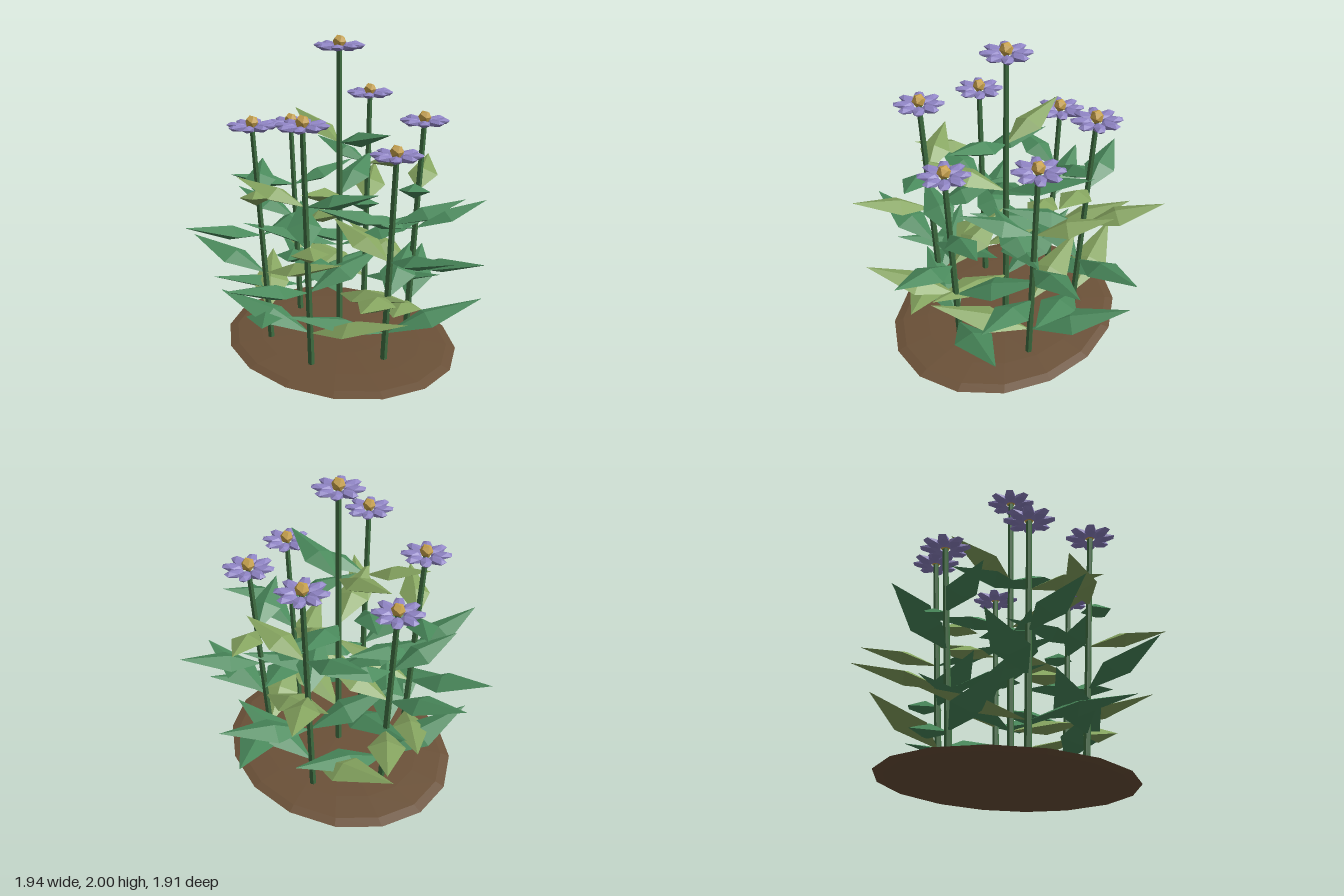
import * as THREE from 'three';

const mat = (color) => new THREE.MeshStandardMaterial({ color, flatShading: true });
const MATS = {
  soil: mat(0x6b5138), stem: mat(0x3f6f42), leaf: mat(0x4a8a5c),
  paleLeaf: mat(0x86a560), petal: mat(0x8f84c4), disc: mat(0xc8a24c),
};
const CENTRE = -0.015;
const rad = THREE.MathUtils.degToRad;

// Faceted leaf: a stretched octahedron, base at 0 and tip at x = 1, widest at 0.42
function leafGeometry() {
  const g = new THREE.OctahedronGeometry(1, 0);
  const p = g.attributes.position;
  for (let i = 0; i < p.count; i++) {
    const x = p.getX(i);
    p.setX(i, x > 0.5 ? 1 : x < -0.5 ? 0 : 0.42);
  }
  g.computeVertexNormals();
  return g;
}

const LEAF = leafGeometry();
const PETAL = new THREE.IcosahedronGeometry(1, 0);
const DISC = new THREE.IcosahedronGeometry(0.042, 0);

function add(parent, name, geometry, material) {
  const m = new THREE.Mesh(geometry, material);
  m.name = name;
  parent.add(m);
  return m;
}

// Ring of eight petals around a golden disc
function makeFlower() {
  const flower = new THREE.Group();
  flower.name = 'flower';
  for (let i = 0; i < 8; i++) {
    const arm = new THREE.Group();
    arm.name = 'petalArm';
    arm.rotation.y = (i * Math.PI) / 4;
    const petal = add(arm, 'petal', PETAL, MATS.petal);
    petal.position.set(0.09, 0.003, 0);
    petal.scale.set(0.072, 0.022, 0.04);
    petal.rotation.z = 0.12;
    flower.add(arm);
  }
  add(flower, 'flowerDisc', DISC, MATS.disc).position.y = 0.03;
  return flower;
}

// One plant: leaning stem, four pairs of opposite leaves, flower on top
function makePlant(index, foot, head) {
  const plant = new THREE.Group();
  plant.name = 'plant';
  const axis = head.clone().sub(foot);

  const stem = add(plant, 'stem', new THREE.CylinderGeometry(0.017, 0.022, axis.length(), 6), MATS.stem);
  stem.position.copy(foot).add(head).multiplyScalar(0.5);
  stem.quaternion.setFromUnitVectors(new THREE.Vector3(0, 1, 0), axis.clone().normalize());

  const size = index === 6 ? 1.09 : 1;
  for (let k = 0; k < 4; k++) {
    const y = head.y * (0.18 + 0.1733 * k);
    const node = foot.clone().lerp(head, (y - foot.y) / axis.y);
    for (let side = 0; side < 2; side++) {
      const pale = (index + 2 * k + side) % 3 === 1;
      const leaf = add(plant, 'leaf', LEAF, pale ? MATS.paleLeaf : MATS.leaf);
      const length = (0.637 - 0.059 * k) * size;
      leaf.position.copy(node);
      leaf.scale.set(length, 0.045, 0.122 - 0.008 * k);
      leaf.rotation.set(0, -rad(151 + 65 * index - 60 * k + 180 * side), 0.28);
    }
  }

  const flower = makeFlower();
  flower.position.copy(head);
  plant.add(flower);
  return plant;
}

export function createModel() {
  const model = new THREE.Group();
  model.name = 'flowerClump';

  // Low oval mound of soil
  const soil = add(model, 'soil', new THREE.SphereGeometry(1, 16, 8), MATS.soil);
  soil.scale.set(0.82, 0.04, 0.69);
  soil.position.set(CENTRE, 0.04, CENTRE);

  // Six plants in a ring, leaning outward, around a tall middle one
  const heights = [1.56, 1.465, 1.375];
  for (let i = 0; i < 7; i++) {
    const a = rad(60 * (i + 1));
    const at = (r, y) => new THREE.Vector3(CENTRE + r * Math.cos(a), y, CENTRE + r * Math.sin(a));
    const plant = i < 6
      ? makePlant(i, at(0.445, 0.05), at(0.526, heights[i % 3]))
      : makePlant(i, at(0, 0.05), at(0, 1.93));
    model.add(plant);
  }
  return model;
}
